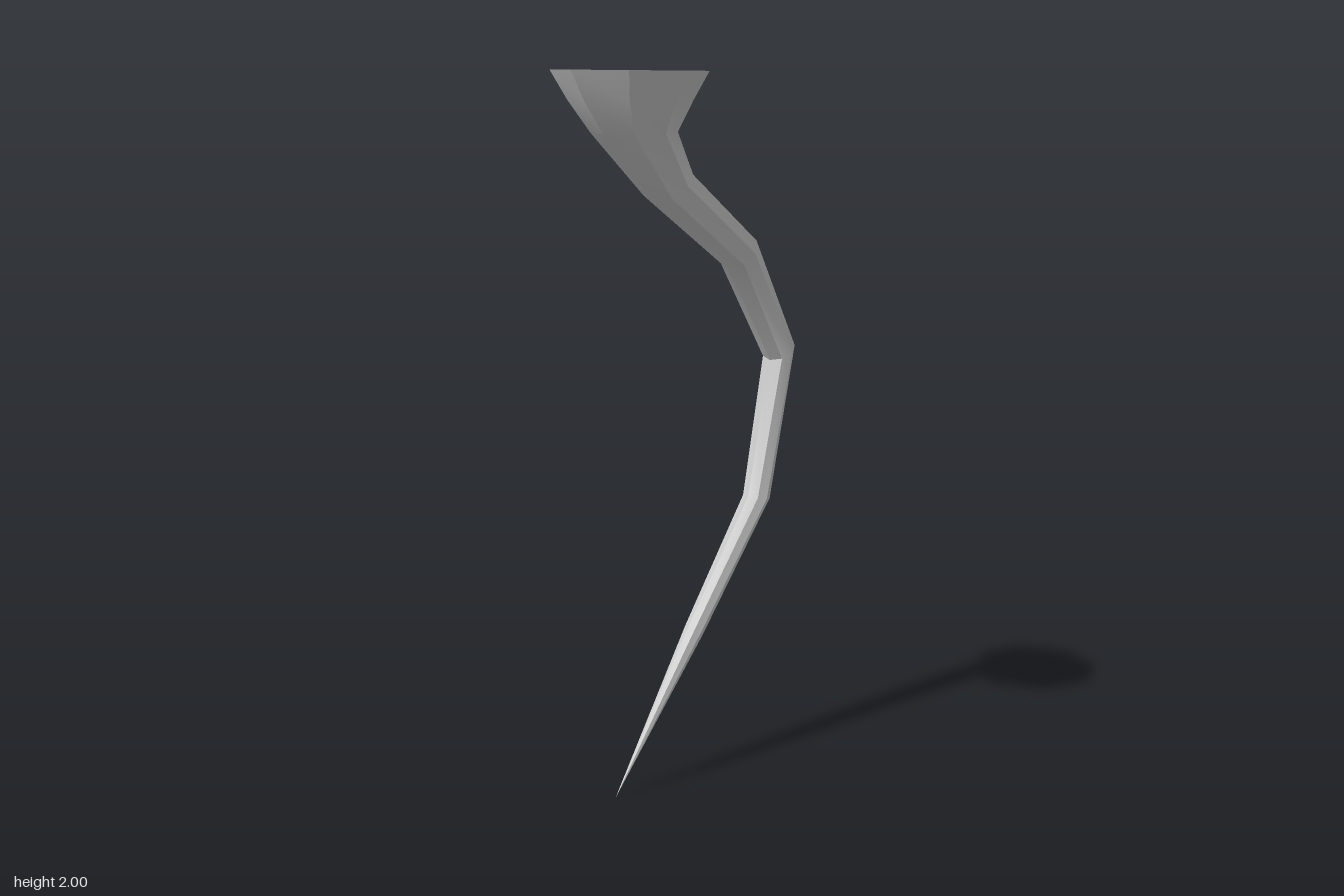
import * as THREE from 'three';
import { toCreasedNormals } from 'three/addons/utils/BufferGeometryUtils.js';

const SIDES = 8;

// Cross-sections from the wide root down to the tip:
// [left x, left y, right x, right y, half depth in z]
const SECTIONS = [
  [-0.43, 2.0, -0.015, 1.995, 0.207],
  [-0.385, 1.922, -0.055, 1.922, 0.163],
  [-0.32, 1.837, -0.095, 1.84, 0.116],
  [-0.14, 1.655, -0.02, 1.735, 0.073],
  [0.17, 1.445, 0.24, 1.54, 0.064],
  [0.345, 1.165, 0.425, 1.212, 0.052],
  [0.253, 0.77, 0.328, 0.757, 0.041],
  [0.0, 0.435, 0.045, 0.398, 0.028],
];
const TIP = [-0.3, 0, 0];

function hornGeometry() {
  const positions = [];
  const index = [];

  // Octagonal rings, each tilted along its left-right line
  for (const [lx, ly, rx, ry, depth] of SECTIONS) {
    for (let j = 0; j < SIDES; j++) {
      const a = (j / SIDES) * Math.PI * 2;
      const t = (1 + Math.cos(a)) / 2;
      positions.push(lx + (rx - lx) * t, ly + (ry - ly) * t, Math.sin(a) * depth);
    }
  }
  const tip = positions.length / 3;
  positions.push(...TIP);
  const capCentre = tip + 1;
  const [lx, ly, rx, ry] = SECTIONS[0];
  positions.push((lx + rx) / 2, (ly + ry) / 2, 0);

  const last = SECTIONS.length - 1;
  for (let j = 0; j < SIDES; j++) {
    const k = (j + 1) % SIDES;
    // Flat root cap
    index.push(capCentre, k, j);
    // Side walls
    for (let i = 0; i < last; i++) {
      const a = i * SIDES + j, b = a + SIDES;
      const c = i * SIDES + k, d = c + SIDES;
      index.push(a, c, b, c, d, b);
    }
    // Pointed end
    index.push(last * SIDES + j, last * SIDES + k, tip);
  }

  const geometry = new THREE.BufferGeometry();
  geometry.setAttribute('position', new THREE.Float32BufferAttribute(positions, 3));
  geometry.setIndex(index);
  return toCreasedNormals(geometry, 0.6);
}

export function createModel() {
  const group = new THREE.Group();
  group.name = 'curvedHorn';
  const horn = new THREE.Mesh(hornGeometry(), new THREE.MeshStandardMaterial({ color: 0xcccccc }));
  horn.name = 'horn';
  group.add(horn);
  return group;
}
